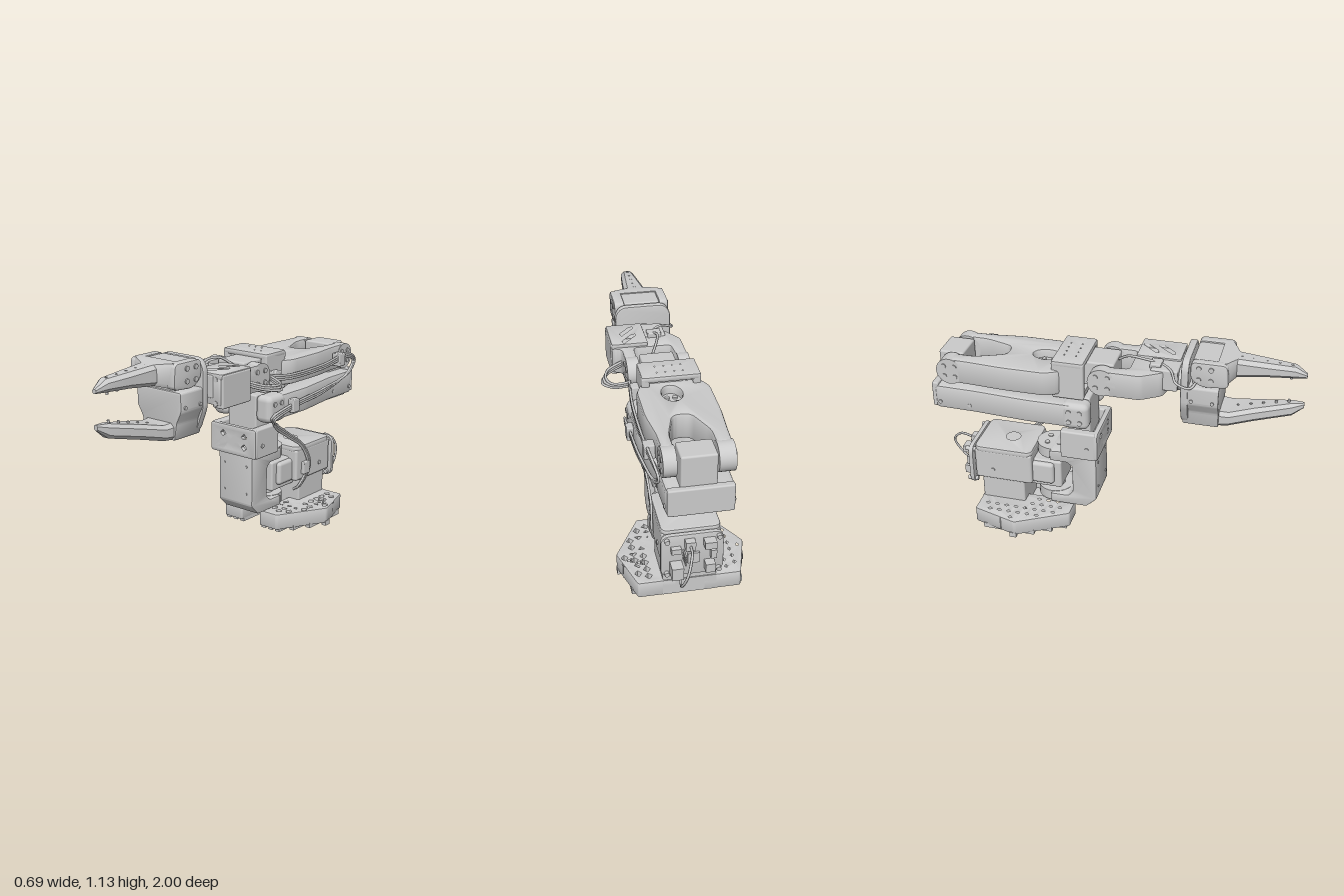
import * as THREE from 'three';
import { toCreasedNormals } from 'three/addons/utils/BufferGeometryUtils.js';
import { RoundedBoxGeometry } from 'three/addons/geometries/RoundedBoxGeometry.js';

export function createModel() {
  const model = new THREE.Group();
  const mat = new THREE.MeshStandardMaterial({ color: 0xcccccc });
  const group = (name) => { const g = new THREE.Group(); g.name = name; model.add(g); return g; };
  const add = (parent, name, geo) => {
    const m = new THREE.Mesh(geo, mat); m.name = name; parent.add(m); return m;
  };
  // Box from its limits, with optional rounded edges
  const box = (p, name, x0, x1, y0, y1, z0, z1, r = 0) => {
    const s = [x1 - x0, y1 - y0, z1 - z0];
    const m = add(p, name, r ? new RoundedBoxGeometry(...s, 2, r) : new THREE.BoxGeometry(...s));
    m.position.set((x0 + x1) / 2, (y0 + y1) / 2, (z0 + z1) / 2);
    return m;
  };
  // Cylinder centred at a point along one axis
  const cyl = (p, name, axis, r, len, x, y, z, seg = 32) => {
    const g = new THREE.CylinderGeometry(r, r, len, seg);
    if (axis === 'x') g.rotateZ(Math.PI / 2);
    if (axis === 'z') g.rotateX(Math.PI / 2);
    const m = add(p, name, g); m.position.set(x, y, z); return m;
  };
  // Polygon with rounded corners
  const rounded = (pts, r) => {
    const s = new THREE.Shape(), v = pts.map(a => new THREE.Vector2(...a)), n = v.length;
    v.forEach((c, i) => {
      const a = v[(i + n - 1) % n], b = v[(i + 1) % n];
      const to = (q) => c.clone().lerp(q, Math.min(0.48, r / c.distanceTo(q)));
      const p = to(a), e = to(b);
      if (i) s.lineTo(p.x, p.y); else s.moveTo(p.x, p.y);
      s.quadraticCurveTo(c.x, c.y, e.x, e.y);
    });
    s.closePath();
    return s;
  };
  // Extrusion from a to b: 'x' takes (z,y), 'y' takes (x,z), 'z' takes (x,y)
  const ext = (p, name, axis, pts, a, b, { r = 0.012, bevel = 0.008, holes = [] } = {}) => {
    const f = (q) => axis === 'y' ? q.map(([x, z]) => [x, -z]) : q;
    const s = rounded(f(pts), r);
    for (const h of holes) s.holes.push(new THREE.Path(f(h).map(q => new THREE.Vector2(...q))));
    let g = new THREE.ExtrudeGeometry(s, {
      depth: b - a - 2 * bevel, bevelEnabled: bevel > 0, bevelThickness: bevel,
      bevelSize: bevel, bevelOffset: -bevel, bevelSegments: 2, curveSegments: 6
    });
    g.translate(0, 0, bevel);
    if (axis === 'x') g.rotateY(-Math.PI / 2).translate(b, 0, 0);
    if (axis === 'y') g.rotateX(-Math.PI / 2).translate(0, a, 0);
    if (axis === 'z') g.translate(0, 0, a);
    return add(p, name, toCreasedNormals(g, 0.6));
  };
  const rect = (x0, x1, y0, y1) => [[x0, y0], [x1, y0], [x1, y1], [x0, y1]];
  const ngon = (x, y, rx, ry = rx, n = 4) => Array.from({ length: n }, (_, i) => {
    const t = i / n * Math.PI * 2; return [x + rx * Math.cos(t), y + ry * Math.sin(t)];
  });
  // Chamfered cross-sections [z, halfWidth, y0, y1] joined along z
  const loft = (p, name, cx, secs) => {
    const pos = [], idx = [], n = 8;
    for (const [z, w, y0, y1] of secs) {
      const c = Math.min(0.02, w * 0.5, (y1 - y0) * 0.35);
      for (const [x, y] of [[w, y0 + c], [w, y1 - c], [w - c, y1], [c - w, y1], [-w, y1 - c], [-w, y0 + c], [c - w, y0], [w - c, y0]])
        pos.push(cx + x, y, z);
    }
    for (let i = 0; i < secs.length - 1; i++) for (let j = 0; j < n; j++) {
      const a = i * n + j, b = i * n + (j + 1) % n;
      idx.push(a, b, a + n, b, b + n, a + n);
    }
    const e = (secs.length - 1) * n;
    for (let j = 1; j < n - 1; j++) idx.push(0, j + 1, j, e, e + j, e + j + 1);
    const g = new THREE.BufferGeometry();
    g.setAttribute('position', new THREE.Float32BufferAttribute(pos, 3));
    g.setIndex(idx);
    return add(p, name, toCreasedNormals(g, 0.6));
  };
  // Four screw heads on a side face
  const screws = (p, x, y, z, d = 0.032) => {
    for (const i of [-1, 1]) for (const j of [-1, 1])
      cyl(p, 'screw', 'x', 0.014, 0.012, x, y + i * d, z + j * d, 12);
  };
  const tube = (p, name, pts, r = 0.007) => add(p, name, new THREE.TubeGeometry(
    new THREE.CatmullRomCurve3(pts.map(q => new THREE.Vector3(...q))), pts.length * 10, r, 6));

  // Base: two perforated hexagonal feet joined by a rear bar
  const base = group('base');
  for (const s of [-1, 1]) {
    const foot = [[0.065, -0.22], [0.19, -0.22], [0.345, -0.5], [0.27, -0.755], [0.065, -0.755]];
    const reach = (x) => x < 0.19 ? -0.22 : -0.22 - (x - 0.19) * 1.8;
    const back = (x) => x < 0.27 ? -0.75 : -0.755 + (x - 0.27) * 3.4;
    const holes = [];
    for (let i = 0; i < 5; i++) for (let j = 0; j < 9; j++) {
      const x = 0.105 + i * 0.05, z = -0.7 + j * 0.055 + (i % 2) * 0.0275;
      if (z < reach(x) - 0.06 && z > back(x) + 0.04 && (x > 0.17 || z > -0.46))
        holes.push(ngon(s * x, z, 0.017, 0.022));
    }
    ext(base, 'foot', 'y', foot.map(([x, z]) => [s * x, z]), 0.018, 0.11, { holes, bevel: 0.006 });
    for (let x = 0.08; x < 0.34; x += 0.05)
      box(base, 'footRib', s * x - 0.014, s * x + 0.014, 0, 0.03, back(x) + 0.02, reach(x) - 0.02);
  }
  box(base, 'rearBar', -0.14, 0.14, 0.02, 0.11, -0.755, -0.5);
  box(base, 'crossPlate', -0.1, 0.1, 0.02, 0.06, -0.5, -0.44);
  box(base, 'column', -0.14, 0.14, 0.1, 0.26, -0.75, -0.5, 0.01);
  box(base, 'housing', -0.15, 0.155, 0.24, 0.43, -0.785, -0.45, 0.015);
  ext(base, 'housingLid', 'y', rect(-0.15, 0.155, -0.785, -0.45), 0.415, 0.45,
    { r: 0.04, holes: [ngon(0, -0.6, 0.05, 0.05, 24)] });
  box(base, 'panServo', -0.1, 0.1, 0.21, 0.385, -0.5, -0.29, 0.012);
  box(base, 'servoCradle', -0.125, 0.125, 0.24, 0.375, -0.55, -0.33, 0.02);
  cyl(base, 'panAxle', 'y', 0.05, 0.26, 0, 0.295, -0.35);
  for (const s of [-1, 1]) cyl(base, 'screw', 'x', 0.012, 0.316, 0.003, 0.305, -0.68, 12);

  // Controller board on the rear of the housing
  const board = group('controllerBoard');
  const bolts = [-0.13, 0.135].flatMap(x => [0.215, 0.415].map(y => [x, y]));
  ext(board, 'boardPlate', 'z', rect(-0.155, 0.165, 0.19, 0.44), -0.82, -0.795, { r: 0.05, bevel: 0.004 });
  for (const [x, y] of bolts) cyl(board, 'standoff', 'z', 0.013, 0.06, x, y, -0.81, 12);
  for (const [x, y, w, h, d] of [[-0.08, 0.39, 0.06, 0.04, 0.05], [0.02, 0.39, 0.05, 0.05, 0.04], [0.09, 0.25, 0.06, 0.07, 0.07],
    [0, 0.3, 0.06, 0.06, 0.015], [-0.08, 0.25, 0.05, 0.05, 0.05], [0.09, 0.36, 0.05, 0.03, 0.03], [-0.1, 0.32, 0.03, 0.05, 0.03]])
    box(board, 'connector', x - w / 2, x + w / 2, y - h / 2, y + h / 2, -0.818 - d, -0.815);
  for (let i = 0; i < 4; i++) cyl(board, 'pin', 'z', 0.005, 0.07, 0.05, 0.3 + i * 0.016, -0.85, 6);
  tube(board, 'boardCable', [[0.02, 0.39, -0.85], [0.03, 0.4, -0.93], [0.06, 0.33, -0.992], [0.08, 0.23, -0.95], [0.07, 0.17, -0.86], [0.05, 0.165, -0.75]]);

  // Turning C bracket
  const pan = group('turningBracket');
  ext(pan, 'bracketFrame', 'x', [[-0.08, 0.48], [-0.08, 0.18], [-0.14, 0.122], [-0.35, 0.122], [-0.35, 0.18], [-0.25, 0.18],
    [-0.22, 0.21], [-0.22, 0.38], [-0.25, 0.405], [-0.35, 0.405], [-0.35, 0.468], [-0.2, 0.48]], -0.12, 0.12);
  for (const [y, n] of [[0.151, 'lowerDisc'], [0.437, 'upperDisc']]) cyl(pan, n, 'y', 0.1, 0.062, 0, y, -0.35);
  for (const i of [-1, 1]) for (const j of [-1, 1]) {
    cyl(pan, 'discScrew', 'y', 0.015, 0.01, i * 0.035, 0.469, -0.35 + j * 0.035, 12);
    cyl(pan, 'frontScrew', 'z', 0.007, 0.01, i * 0.08, 0.33 + j * 0.08, -0.08, 10);
  }

  // Shoulder bracket with perforated front
  const shoulder = group('shoulderBracket');
  const diamonds = (ys) => ys.flatMap(y => [-0.075, -0.025, 0.025, 0.075].map(x => ngon(x, y, 0.017)));
  ext(shoulder, 'perforatedFront', 'z', rect(-0.165, 0.16, 0.47, 0.64), -0.09, -0.06, { r: 0.02, holes: diamonds([0.525, 0.585]) });
  for (const [a, b] of [[-0.165, -0.115], [0.11, 0.16]]) {
    box(shoulder, 'bracketSide', a, b, 0.47, 0.64, -0.27, -0.07, 0.01);
    cyl(shoulder, 'screw', 'x', 0.012, b - a + 0.01, (a + b) / 2, 0.54, -0.12, 12);
  }
  box(shoulder, 'bracketFloor', -0.13, 0.13, 0.47, 0.5, -0.25, -0.08);
  box(shoulder, 'shoulderServo', -0.085, 0.112, 0.56, 0.82, -0.245, -0.12, 0.01);

  // Lower arm: front fork on the shoulder servo, solid rear block
  const lower = group('lowerArm');
  ext(lower, 'armBody', 'y', [[-0.185, -0.18], [-0.185, -0.45], [-0.165, -0.75], [-0.16, -0.985], [0.17, -0.985], [0.175, -0.75],
    [0.215, -0.45], [0.215, -0.18], [0.115, -0.18], [0.11, -0.33], [0.055, -0.52], [-0.025, -0.52], [-0.085, -0.33], [-0.09, -0.18]],
    0.682, 0.822, { r: 0.03, bevel: 0.018 });
  for (const [a, b] of [[-0.188, -0.085], [0.112, 0.22]]) {
    const m = box(lower, 'forkEnd', a, b, 0.672, 0.828, -0.26, -0.104, 0.035);
    screws(lower, a < 0 ? a : b, m.position.y, -0.18, 0.03);
  }
  const grid = [];
  for (let i = 0; i < 5; i++) for (let j = 0; j < 5; j++) grid.push(ngon(-0.08 + i * 0.042, -0.91 + j * 0.042, 0.011, 0.011, 8));
  ext(lower, 'perforatedFloor', 'y', rect(-0.13, 0.14, -0.96, -0.69), 0.67, 0.69, { bevel: 0, holes: grid });
  for (const z of [-0.78, -0.95]) cyl(lower, 'screw', 'x', 0.011, 0.345, 0.005, 0.725, z, 12);
  box(lower, 'elbowServo', -0.075, 0.1, 0.76, 0.995, -0.97, -0.83, 0.01);
  box(lower, 'rearLip', -0.155, 0.165, 0.69, 0.835, -0.998, -0.96, 0.008);

  // Upper arm: rear fork on the elbow servo, front cage for the wrist servo
  const upper = group('upperArm');
  const slot = [...ngon(0.025, -0.385, 0.05, 0.075, 20)];
  ext(upper, 'armBody', 'y', [[-0.165, -0.88], [-0.17, -0.75], [-0.182, -0.58], [-0.182, -0.34], [-0.14, -0.26], [0.16, -0.26],
    [0.2, -0.34], [0.2, -0.58], [0.178, -0.75], [0.175, -0.88], [0.112, -0.88], [0.112, -0.76], [0.065, -0.6], [-0.02, -0.6],
    [-0.085, -0.76], [-0.085, -0.88]], 0.855, 1.0, { r: 0.035, bevel: 0.018, holes: [slot] });
  box(upper, 'slotFloor', -0.06, 0.11, 0.88, 0.95, -0.5, -0.28);
  for (let i = 0; i < 4; i++) cyl(upper, 'slotScrew', 'y', 0.013, 0.01, i % 2 ? 0.045 : 0.005, 0.955, i < 2 ? -0.36 : -0.41, 10);
  for (const [a, b] of [[-0.167, -0.085], [0.112, 0.178]]) {
    cyl(upper, 'elbowDisc', 'x', 0.075, b - a, (a + b) / 2, 0.925, -0.88);
    screws(upper, a < 0 ? a : b, 0.925, -0.88, 0.03);
  }
  ext(upper, 'perforatedTop', 'y', rect(-0.14, 0.165, -0.315, -0.14), 1.02, 1.052,
    { r: 0.015, holes: [-0.265, -0.2].flatMap(z => [-0.055, -0.01, 0.035, 0.08].map(x => ngon(x, z, 0.016))) });
  for (const [a, b] of [[-0.14, -0.1], [0.125, 0.165]]) box(upper, 'cageSide', a, b, 0.835, 1.045, -0.315, -0.14, 0.008);
  box(upper, 'cageFloor', -0.135, 0.16, 0.835, 0.865, -0.31, -0.145);
  box(upper, 'wristServo', -0.055, 0.125, 0.885, 1.025, -0.28, 0.005, 0.01);

  // Wrist: fork around the servo leading to the roll servo block
  const wrist = group('wrist');
  ext(wrist, 'wristBody', 'y', [[-0.13, -0.045], [-0.13, 0.16], [-0.06, 0.27], [0.05, 0.3], [0.07, 0.34], [0.255, 0.34],
    [0.255, 0.1], [0.205, 0.08], [0.205, -0.045], [0.14, -0.045], [0.14, 0.09], [-0.06, 0.09], [-0.07, -0.045]], 0.875, 1.02, { r: 0.025 });
  for (const [a, b] of [[-0.13, -0.07], [0.14, 0.205]]) {
    cyl(wrist, 'wristDisc', 'x', 0.077, b - a, (a + b) / 2, 0.95, -0.045);
    screws(wrist, a < 0 ? a : b, 0.95, -0.045);
  }
  const slash = (z) => [[0.11, z], [0.19, z - 0.09], [0.2, z - 0.055], [0.14, z + 0.015], [0.11, z + 0.025]];
  ext(wrist, 'slottedLid', 'y', rect(0.06, 0.255, 0.1, 0.34), 1.012, 1.04, { bevel: 0.004, holes: [slash(0.19), slash(0.28)] });
  box(wrist, 'rollServo', 0.19, 0.26, 0.86, 1.035, 0.11, 0.335, 0.008);
  box(wrist, 'rollServoBody', -0.055, 0.2, 0.91, 1.03, 0.2, 0.345, 0.008);
  for (const y of [0.885, 1.01]) cyl(wrist, 'screw', 'z', 0.014, 0.01, 0.215, y, 0.338, 12);
  cyl(wrist, 'rollAxle', 'z', 0.07, 0.06, 0.04, 0.95, 0.36);

  // Gripper: fixed lower jaw and hinged upper jaw
  const grip = group('gripper');
  ext(grip, 'mountPlate', 'z', [[-0.06, 0.74], [0.145, 0.74], [0.195, 0.87], [0.195, 1.08], [0.16, 1.125], [-0.08, 1.125], [-0.115, 1.08], [-0.115, 0.87]],
    0.372, 0.412, { r: 0.03 });
  ext(grip, 'lowerJawBody', 'z', [[-0.06, 0.728], [0.145, 0.728], [0.16, 0.82], [0.19, 0.88], [0.19, 0.98], [-0.11, 0.98], [-0.11, 0.88], [-0.075, 0.82]], 0.38, 0.572);
  loft(grip, 'lowerJaw', 0.043, [[0.54, 0.102, 0.728, 0.82], [0.62, 0.095, 0.735, 0.815], [0.75, 0.068, 0.767, 0.845], [0.94, 0.035, 0.812, 0.885], [1, 0.012, 0.86, 0.888]]);
  box(grip, 'jawServo', -0.062, 0.135, 0.93, 1.125, 0.425, 0.56, 0.008);
  for (const [a, b] of [[-0.112, -0.062], [0.135, 0.192]]) {
    ext(grip, 'jawCheek', 'x', [[0.42, 1.03], [0.48, 0.99], [0.62, 1.0], [0.61, 1.13], [0.42, 1.13]], a, b, { r: 0.03 });
    screws(grip, a < 0 ? a : b, 1.065, 0.495);
    for (const [y, z] of [[0.9, 0.43], [0.9, 0.54]]) cyl(grip, 'screw', 'x', 0.01, 0.01, a < 0 ? a : b, y, z, 10);
  }
  loft(grip, 'upperJaw', 0.04, [[0.555, 0.15, 0.995, 1.13], [0.6, 0.145, 1.002, 1.13], [0.645, 0.062, 1.015, 1.12], [0.8, 0.05, 1.03, 1.11], [0.94, 0.036, 1.036, 1.1], [1, 0.012, 1.038, 1.06]]);
  for (let i = 0; i < 5; i++) {
    const z = 0.66 + i * 0.065;
    cyl(grip, 'jawRivet', 'y', 0.007, 0.085, 0.04, 1.078 - i * 0.004, z, 8);
    cyl(grip, 'lowerJawRivet', 'y', 0.007, 0.09, 0.043, 0.783 + i * 0.017, z, 8);
  }

  // Cable bundles and their clips
  const cables = group('cables');
  for (let i = 0; i < 3; i++) {
    const o = i * 0.011;
    tube(cables, 'armCable', [[0.2, 0.92 + o, -0.13], [0.215, 0.9 + o, -0.3], [0.222, 0.905 + o, -0.6], [0.22, 0.93 + o, -0.85],
      [0.2, 0.89, -0.94 - o], [0.205, 0.83, -0.88 - o], [0.228, 0.765 + o, -0.6], [0.232, 0.735 + o, -0.3], [0.225, 0.69 + o, -0.14 + o],
      [0.19, 0.63 + o, -0.2], [0.165, 0.54 + o, -0.35], [0.16, 0.44, -0.5 - o], [0.165, 0.32, -0.55 - o], [0.14, 0.2, -0.49 - o], [0.1, 0.17, -0.5]]);
    tube(cables, 'wristLoop', [[0.19, 0.92 + o, -0.14], [0.28, 0.9 + o, -0.11], [0.332 - o, 0.9 + o, -0.05], [0.29, 0.91 + o, 0.03], [0.2, 0.93 + o, 0.08]]);
  }
  for (const [y, z, x] of [[0.925, -0.77, 0.215], [0.745, -0.31, 0.225], [0.31, -0.53, 0.15], [0.915, -0.2, 0.18]])
    box(cables, 'cableClip', x - 0.03, x + 0.025, y - 0.035, y + 0.04, z - 0.03, z + 0.03, 0.006);
  tube(cables, 'rollCable', [[0.06, 1.0, 0.0], [0.02, 1.05, 0.07], [0.0, 1.055, 0.15], [0.01, 1.03, 0.25], [-0.05, 1.03, 0.31], [-0.118, 1.0, 0.35], [-0.12, 0.98, 0.42], [-0.07, 1.0, 0.45]]);
  box(cables, 'rollCableClip', -0.03, 0.045, 1.01, 1.045, 0.19, 0.25, 0.006);
  return model;
}
